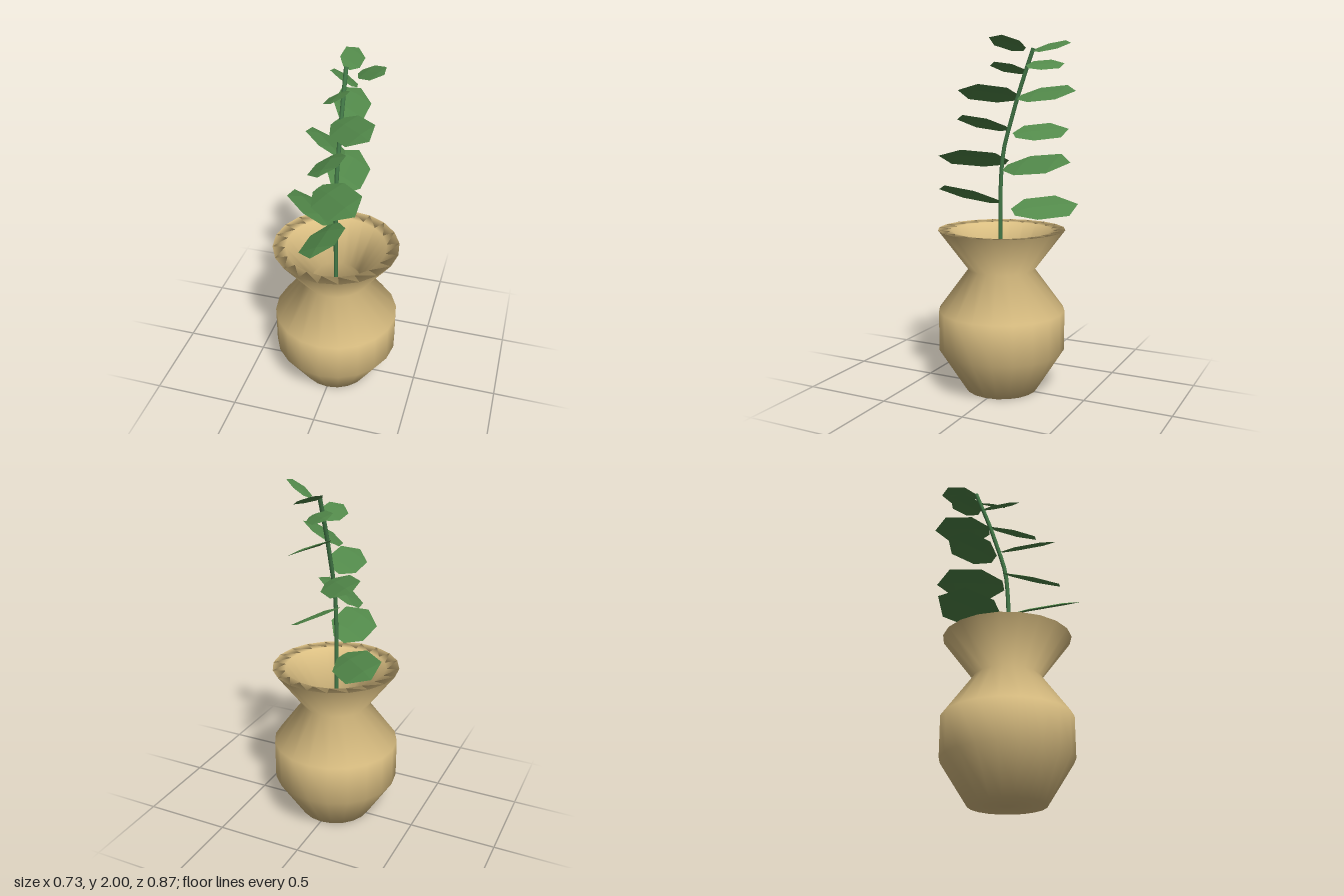
import * as THREE from 'three';

const clay = new THREE.MeshStandardMaterial({ color: 0xdcc083 });
const stemGreen = new THREE.MeshStandardMaterial({ color: 0x437a48 });
const leafGreen = new THREE.MeshStandardMaterial({
  color: 0x52894a, flatShading: true, side: THREE.DoubleSide,
});

function named(geometry, material, name) {
  const mesh = new THREE.Mesh(geometry, material);
  mesh.name = name;
  return mesh;
}

// Angular folded blade from base to tip, rolled so its left edge is the higher one
function leafGeometry(base, tip) {
  const dir = new THREE.Vector3(tip.x - base.x, 0, tip.z - base.z);
  const length = dir.length();
  const side = new THREE.Vector3(dir.z, 0, -dir.x).normalize();
  // position along the blade, half width, arch of the midrib
  const rows = [[0, 0.08, 0], [0.27, 0.25, 0.03], [0.75, 0.25, 0.03], [1, 0, 0]];
  const points = [];
  const index = [];
  rows.forEach(([t, width, arch], r) => {
    for (const s of [-1, 0, 1]) {
      const p = base.clone().lerp(tip, t).addScaledVector(side, s * width * length);
      p.y += length * (arch + width * (0.46 * s - 0.1 * Math.abs(s)));
      points.push(p);
    }
    if (r === 3) return;
    for (let c = 0; c < 2; c++) {
      const a = r * 3 + c;
      index.push(a, a + 3, a + 1);
      if (r < 2) index.push(a + 1, a + 3, a + 4);
      else index.push(a + 1, a + 3, a + 4);
    }
  });
  const geometry = new THREE.BufferGeometry().setFromPoints(points);
  geometry.setIndex(index);
  geometry.computeVertexNormals();
  return geometry;
}

export function createModel() {
  const model = new THREE.Group();
  model.name = 'pottedPlant';

  // Vase: outer wall up to the rim, then the inner wall down to the floor
  const profile = [
    [0, 0], [0.21, 0], [0.363, 0.24], [0.363, 0.47], [0.19, 0.705], [0.363, 0.937],
    [0.29, 0.93], [0.14, 0.705], [0.31, 0.46], [0.31, 0.25], [0.18, 0.04], [0, 0.04],
  ].map(([r, y]) => new THREE.Vector2(r, y));
  const vase = named(new THREE.LatheGeometry(profile, 20), clay, 'vase');
  vase.position.z = 0.012;
  model.add(vase);

  // Stem leaning backwards towards the top
  const path = new THREE.CatmullRomCurve3([
    [0.02, 0.04], [0.02, 0.7], [0.017, 1.2], [0, 1.38], [-0.05, 1.56], [-0.1, 1.72], [-0.18, 1.94],
  ].map(([z, y]) => new THREE.Vector3(0, y, z)));
  model.add(named(new THREE.TubeGeometry(path, 24, 0.012, 8), stemGreen, 'stem'));

  // Leaves in pairs, from the bottom up: base xyz, tip xyz
  const leaves = [
    [-0.06, 1.03, -0.03, -0.355, 1.055, -0.315],
    [-0.01, 1.095, 0.03, -0.02, 1.14, 0.435],
    [0.0, 1.29, -0.01, 0.02, 1.33, -0.41],
    [-0.1, 1.31, 0.025, 0.185, 1.355, 0.313],
    [0.0, 1.47, -0.065, -0.23, 1.5, -0.3],
    [-0.01, 1.51, -0.02, -0.015, 1.55, 0.305],
    [0.01, 1.68, -0.1, 0.018, 1.71, -0.435],
    [-0.03, 1.675, -0.075, 0.215, 1.715, 0.17],
    [0.05, 1.84, -0.165, -0.105, 1.86, -0.32],
    [-0.005, 1.82, -0.135, -0.01, 1.85, 0.088],
    [0.0, 1.93, -0.185, 0.01, 1.96, -0.4],
    [0.08, 1.93, -0.165, 0.235, 1.985, -0.03],
  ];
  const foliage = new THREE.Group();
  foliage.name = 'leaves';
  leaves.forEach(([bx, by, bz, tx, ty, tz], i) => {
    const geometry = leafGeometry(new THREE.Vector3(bx, by, bz), new THREE.Vector3(tx, ty, tz));
    foliage.add(named(geometry, leafGreen, `leaf${i + 1}`));
  });
  model.add(foliage);
  return model;
}
